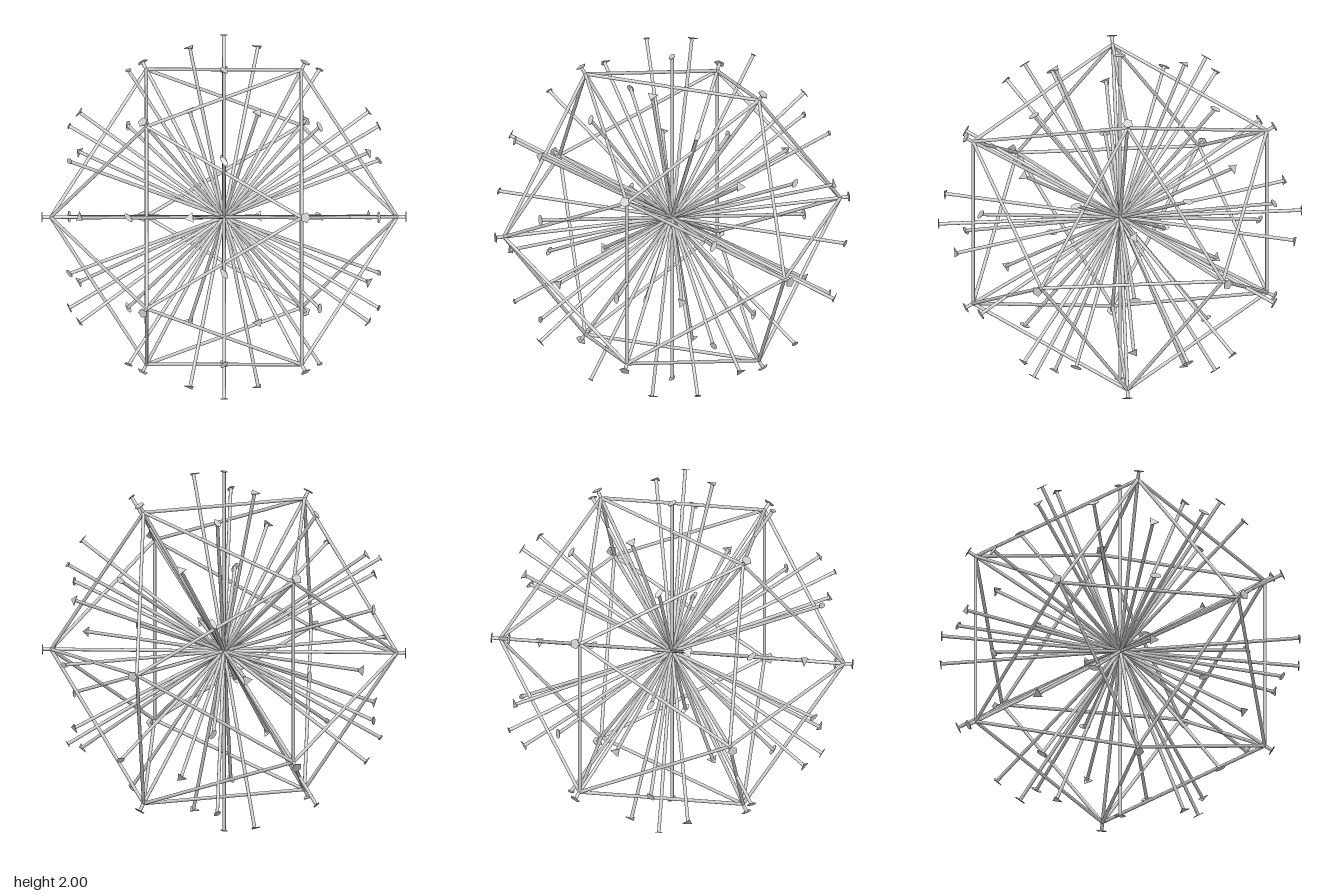
import * as THREE from 'three';

const PHI = (1 + Math.sqrt(5)) / 2;
const UP = new THREE.Vector3(0, 1, 0);
const ROD = 0.0095;
const CAP_T = 0.004;

// All three cyclic permutations of (x, y, z) with every sign, one per opposite pair if asked
function directions(x, y, z, halve) {
  const out = [];
  for (const [a, b, c] of [[x, y, z], [z, x, y], [y, z, x]])
    for (const sx of a ? [1, -1] : [1])
      for (const sy of b ? [1, -1] : [1])
        for (const sz of c ? [1, -1] : [1]) {
          const v = new THREE.Vector3(a * sx, b * sy, c * sz);
          const lead = Math.abs(v.y) > 1e-6 ? v.y : Math.abs(v.z) > 1e-6 ? v.z : v.x;
          if (!halve || lead > 0) out.push(v);
        }
  return out;
}

export function createModel() {
  const model = new THREE.Group();
  model.name = 'symmetryAxes';
  const smooth = new THREE.MeshStandardMaterial({ color: 0xcccccc });
  const flat = new THREE.MeshStandardMaterial({ color: 0xcccccc, flatShading: true });
  const centre = new THREE.Group();
  centre.name = 'centredFrame';
  centre.position.y = 1;
  model.add(centre);

  // Icosahedron wire frame: a bar between every pair of neighbouring corners
  const frame = new THREE.Group();
  frame.name = 'icosahedronFrame';
  const corners = directions(0.5, PHI / 2, 0, false);
  const barGeo = new THREE.CylinderGeometry(ROD, ROD, 1, 12);
  const jointGeo = new THREE.SphereGeometry(ROD, 12, 8);
  corners.forEach((a, i) => {
    const joint = new THREE.Mesh(jointGeo, smooth);
    joint.name = 'cornerJoint';
    joint.position.copy(a);
    frame.add(joint);
    for (const b of corners.slice(i + 1)) {
      if (a.distanceTo(b) > 1.01) continue;
      const bar = new THREE.Mesh(barGeo, smooth);
      bar.name = 'edgeBar';
      bar.position.addVectors(a, b).multiplyScalar(0.5);
      bar.quaternion.setFromUnitVectors(UP, b.clone().sub(a).normalize());
      frame.add(bar);
    }
  });
  centre.add(frame);

  // Axis rods through the centre, with a cap at both ends showing the order of rotation
  const rodGeo = new THREE.CylinderGeometry(ROD, ROD, 2 - CAP_T, 12);
  const lensGeo = new THREE.CylinderGeometry(0.031, 0.031, CAP_T, 20).scale(0.45, 1, 1);
  const triangleGeo = new THREE.CylinderGeometry(0.033, 0.033, CAP_T, 3);
  const pentagonGeo = new THREE.CylinderGeometry(0.03, 0.03, CAP_T, 5);

  function addAxes(name, list, capGeo) {
    const group = new THREE.Group();
    group.name = name;
    for (const d of list) {
      const axis = new THREE.Group();
      axis.name = 'axis';
      axis.quaternion.setFromUnitVectors(UP, d.clone().normalize());
      const rod = new THREE.Mesh(rodGeo, smooth);
      rod.name = 'axisRod';
      axis.add(rod);
      for (const s of [1, -1]) {
        const cap = new THREE.Mesh(capGeo, flat);
        cap.name = 'axisCap';
        cap.position.y = s * (1 - CAP_T / 2);
        axis.add(cap);
      }
      group.add(axis);
    }
    centre.add(group);
  }

  addAxes('fivefoldAxes', directions(1, PHI, 0, true), pentagonGeo);
  addAxes('threefoldAxes',
    [...directions(PHI * PHI, 1, 0, true), ...directions(1, 1, 1, true).slice(0, 4)], triangleGeo);
  addAxes('twofoldAxes',
    [...directions(1, 0, 0, true), ...directions(PHI, 1, PHI * PHI, true)], lensGeo);
  return model;
}
